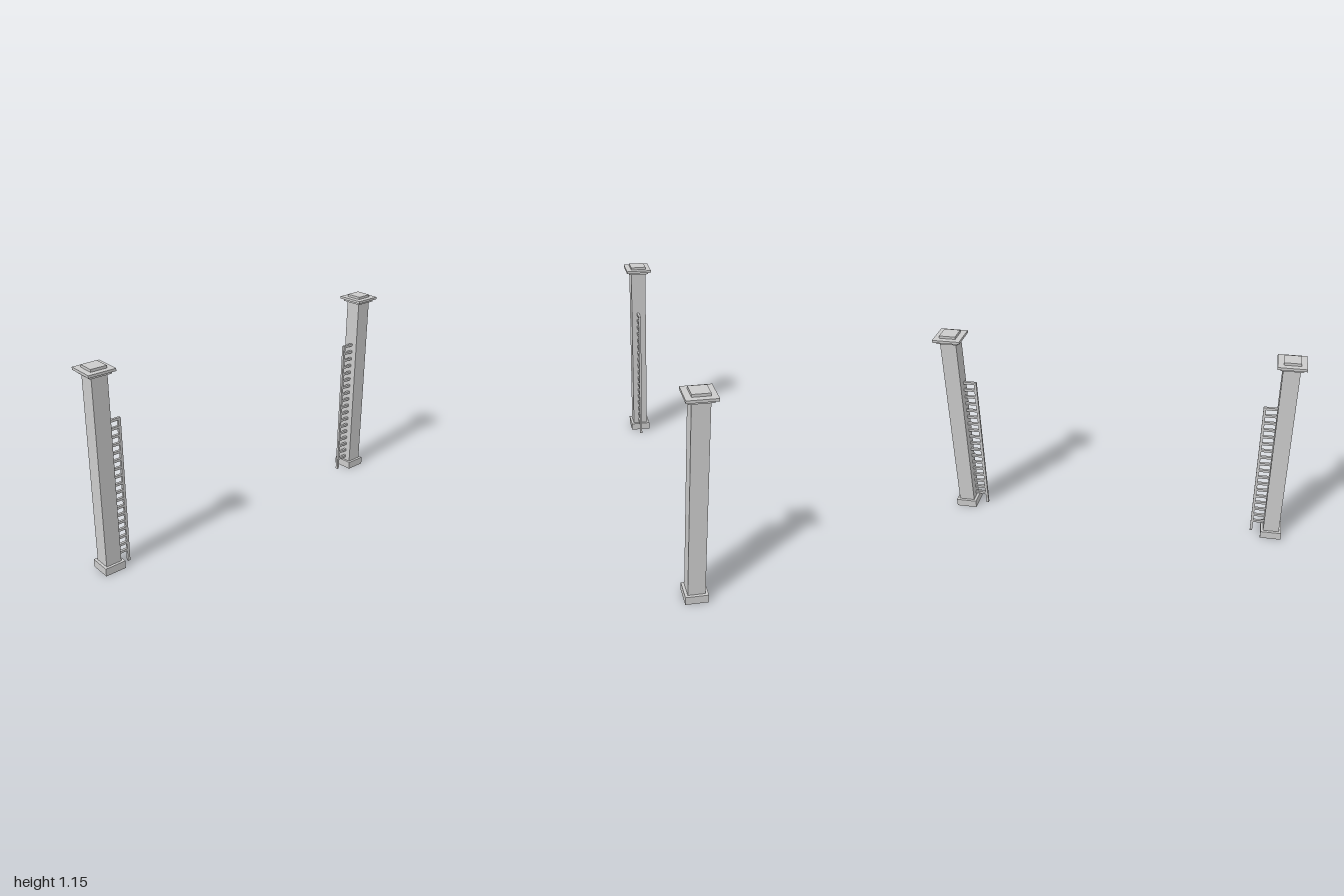
import * as THREE from 'three';

const material = new THREE.MeshStandardMaterial({ color: 0xcccccc, flatShading: true });

// Box from its bottom height, centred on x and z
function box(name, w, h, d, x, bottom, z) {
  const mesh = new THREE.Mesh(new THREE.BoxGeometry(w, h, d), material);
  mesh.name = name;
  mesh.position.set(x, bottom + h / 2, z);
  return mesh;
}

// One square column with a ladder on its -z side
function createPost() {
  const post = new THREE.Group();
  const z = 0.924;

  // Square tiers: name, width, bottom, top
  const tiers = [
    ['base', 0.12, 0, 0.045],
    ['shaft', 0.09, 0.045, 1.109],
    ['capLower', 0.12, 1.109, 1.123],
    ['capPlate', 0.152, 1.123, 1.137],
    ['capTop', 0.09, 1.137, 1.151],
  ];
  for (const [name, width, bottom, top] of tiers) {
    post.add(box(name, width, top - bottom, width, 0, bottom, z));
  }

  // Ladder: a single outer rail, rungs running back to the shaft
  const ladder = new THREE.Group();
  ladder.name = 'ladder';
  const railZ = 0.811, thick = 0.014, rungCount = 18;
  const rungLength = z - 0.045 - railZ;
  ladder.add(box('rail', thick, 0.848, thick, 0.006, 0, railZ));
  for (let i = 0; i < rungCount; i++) {
    const bottom = 0.064 + i * 0.0453;
    ladder.add(box('rung', thick, thick, rungLength, 0.006, bottom, railZ + rungLength / 2));
  }
  post.add(ladder);
  return post;
}

export function createModel() {
  const model = new THREE.Group();
  model.name = 'pairOfPosts';

  const frontPost = createPost();
  frontPost.name = 'frontPost';
  model.add(frontPost);

  // Rear post faces the front one; its ladder keeps the same x offset
  const backPost = createPost();
  backPost.name = 'backPost';
  backPost.traverse((part) => { part.position.z *= -1; });
  model.add(backPost);

  return model;
}
